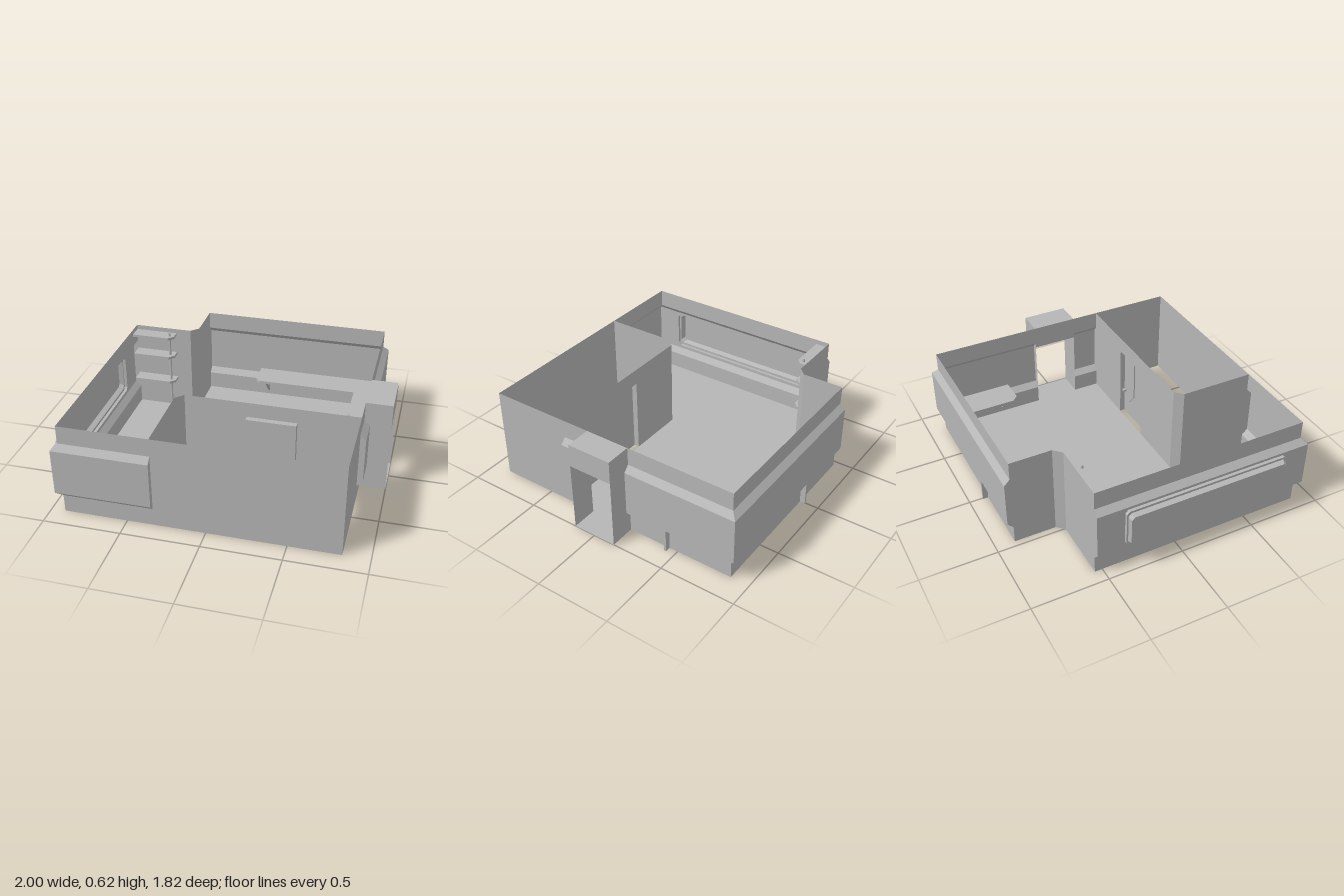
import * as THREE from 'three';

const H = 0.62; // wall height

export function createModel() {
  const root = new THREE.Group();
  root.name = 'habitatRoom';
  const grey = new THREE.MeshStandardMaterial({ color: 0xb6b6b6, side: THREE.DoubleSide });
  grey.name = 'panelGrey';

  const add = (name, geo, parent = root) => {
    const m = new THREE.Mesh(geo, grey);
    m.name = name;
    parent.add(m);
    return m;
  };
  const box = (name, x0, x1, y0, y1, z0, z1) => add(name,
    new THREE.BoxGeometry(x1 - x0, y1 - y0, z1 - z0)
      .translate((x0 + x1) / 2, (y0 + y1) / 2, (z0 + z1) / 2));

  // Flat-faced skin between successive rows of points
  const loft = (rows, closed = false) => {
    const pos = [];
    for (let i = 0; i + 1 < rows.length; i++) {
      const a = rows[i], b = rows[i + 1], n = a.length;
      for (let j = 0; j < (closed ? n : n - 1); j++) {
        const k = (j + 1) % n;
        pos.push(...a[j], ...b[j], ...b[k], ...a[j], ...b[k], ...a[k]);
      }
    }
    const g = new THREE.BufferGeometry();
    g.setAttribute('position', new THREE.Float32BufferAttribute(pos, 3));
    g.computeVertexNormals();
    return g;
  };

  // Sweep an [offset, y] profile along an [x, z] path with mitred right angles
  const sweep = (path, profile) => path.map(([x, z], i) => {
    let nx = 0, nz = 0;
    for (const s of [i - 1, i]) {
      if (s < 0 || s + 1 >= path.length) continue;
      const dx = path[s + 1][0] - path[s][0], dz = path[s + 1][1] - path[s][1];
      const l = Math.hypot(dx, dz);
      nx += dz / l;
      nz -= dx / l;
    }
    return profile.map(([d, y]) => [x + nx * d, y, z + nz * d]);
  });
  const wall = (name, path, y0 = 0, y1 = H) => add(name, loft(sweep(path, [[0, y0], [0, y1]])));

  // Horizontal slab from an [x, z] outline
  const outline = (pts) => new THREE.Shape(pts.map(([x, z]) => new THREE.Vector2(x, -z)));
  const slab = (name, pts, y, t) => add(name,
    new THREE.ExtrudeGeometry(outline(pts), { depth: t, bevelEnabled: false })
      .rotateX(-Math.PI / 2).translate(0, y, 0));

  // Floor with two notched corners
  add('floor', new THREE.ShapeGeometry(outline([
    [-0.91, -0.55], [-0.51, -0.55], [-0.46, -0.6], [-0.46, -0.875], [0.83, -0.875],
    [0.83, -0.15], [1, -0.15], [1, 0.15], [0.83, 0.15],
    [0.83, 0.33], [-0.28, 0.33], [-0.33, 0.38], [-0.33, 0.87], [-0.91, 0.87],
  ])).rotateX(-Math.PI / 2));

  // Walls with a shallow bay bulging outward
  const D = 0.037;
  const lower = [[0, 0], [0, 0.12], [D, 0.157]];
  const upper = [[D, 0.462], [0, 0.5], [0, H]];
  const capEnds = (name, path) => {
    const rows = sweep(path, [...lower, ...upper]);
    for (const r of [rows[0], rows[rows.length - 1]])
      add(name + 'Cap', loft([[r[1], r[2]], [r[4], r[3]]]));
  };
  const bayWall = (name, path) => {
    add(name, loft(sweep(path, [...lower, ...upper])));
    capEnds(name, path);
  };
  bayWall('backAndSideBay', [[-0.46, -0.875], [0.83, -0.875], [0.83, -0.15]]);
  bayWall('sideBayByFront', [[0.83, 0.15], [0.83, 0.335]]);

  // Front and window bay, its window side cut open
  const winPath = [[-0.33, 0.87], [-0.91, 0.87], [-0.91, -0.55]];
  add('windowBayLower', loft(sweep(winPath, lower)));
  add('windowBayUpper', loft(sweep(winPath, upper)));
  add('frontBayFace', loft(sweep(winPath, [lower[2], upper[0]]).slice(0, 2)));
  capEnds('windowBay', winPath);

  // Window: chamfered outline in [z, y], stepped outward
  const loop = (z0, z1, y0, y1, c) => [
    [z0 + c, y0], [z1 - c, y0], [z1, y0 + c], [z1, y1 - c],
    [z1 - c, y1], [z0 + c, y1], [z0, y1 - c], [z0, y0 + c]];
  const at = (x, pts) => pts.map(([z, y]) => [x, y, z]);
  const toShape = (pts) => new THREE.Shape(pts.map(([z, y]) => new THREE.Vector2(z, y)));
  const big = loop(-0.37, 0.74, 0.18, 0.445, 0.02);
  const mid = loop(-0.36, 0.73, 0.197, 0.43, 0.02);
  const pane = loop(-0.355, 0.715, 0.21, 0.422, 0.02);
  const face = toShape([[-0.55, 0.157], [0.87 + D, 0.157], [0.87 + D, 0.462], [-0.55, 0.462]]);
  face.holes.push(toShape(big));
  add('windowBayFace', new THREE.ShapeGeometry(face).rotateY(-Math.PI / 2).translate(-0.91 - D, 0, 0));
  add('windowFrame', loft([at(-0.91 - D, big), at(-0.967, big), at(-0.967, mid), at(-1, pane)], true));
  add('windowPane', new THREE.ShapeGeometry(toShape(pane)).rotateY(-Math.PI / 2).translate(-1, 0, 0));

  // Plain walls
  wall('backNotchWall', [[-0.91, -0.55], [-0.51, -0.55], [-0.46, -0.6], [-0.46, -0.875]]);
  wall('outerCornerWall', [[0.83, 0.33], [0.83, 0.87], [-0.33, 0.87]]);
  wall('innerWallEast', [[0.83, 0.33], [0.44, 0.33]]);
  wall('innerWallWest', [[0.12, 0.33], [-0.28, 0.33], [-0.33, 0.38], [-0.33, 0.87]]);
  wall('innerDoorHeader', [[0.44, 0.33], [0.12, 0.33]], 0.52);

  // Recessed inner door
  wall('doorRecess', [[0.44, 0.33], [0.44, 0.367], [0.12, 0.367], [0.12, 0.33]], 0, 0.52);
  slab('doorRecessTop', [[0.12, 0.33], [0.44, 0.33], [0.44, 0.367], [0.12, 0.367]], 0.515, 0.005);
  const leaf = new THREE.Shape([[0.29, 0.51], [0.29, 0.2], [0.36, 0.12], [0.425, 0.12], [0.425, 0.51]]
    .map((p) => new THREE.Vector2(...p)));
  add('doorPanel', new THREE.ExtrudeGeometry(leaf, { depth: 0.008, bevelEnabled: false }).translate(0, 0, 0.357));
  box('doorHandle', 0.4, 0.42, 0.19, 0.205, 0.335, 0.36);

  // Entry tunnel
  for (const z of [-0.15, 0.15]) wall('entrySide', [[0.83, z], [1, z]]);
  box('entryLintel', 0.83, 1, 0.465, H, -0.15, 0.15);

  // Corner desk, its brackets and the outside struts
  slab('desk', [[-0.07, -0.908], [0.865, -0.908], [0.865, -0.37], [0.7, -0.37], [0.66, -0.41],
    [0.66, -0.71], [-0.04, -0.71], [-0.07, -0.74]], 0.172, 0.02);
  const bracket = () => new THREE.ExtrudeGeometry(
    new THREE.Shape([[0, 0.03], [0.13, 0.172], [0, 0.172]].map((p) => new THREE.Vector2(...p))),
    { depth: 0.015, bevelEnabled: false });
  add('deskBracket', bracket().rotateY(-Math.PI / 2).translate(0.0075, 0, -0.875));
  add('deskBracket', bracket().rotateY(Math.PI).translate(0.83, 0, -0.4255));
  box('outsideStrut', -0.0075, 0.0075, 0, 0.157, -0.91, -0.875);
  box('outsideStrut', 0.83, 0.866, 0, 0.157, -0.4405, -0.4255);

  // Shelves on a pole
  for (const y of [0.22, 0.42, 0.57])
    slab('shelf', [[-0.91, -0.55], [-0.615, -0.55], [-0.615, -0.49], [-0.65, -0.455], [-0.91, -0.455]], y, 0.018);
  add('shelfPole', new THREE.CylinderGeometry(0.008, 0.008, 0.61, 10).translate(-0.65, 0.305, -0.497));

  return root;
}
